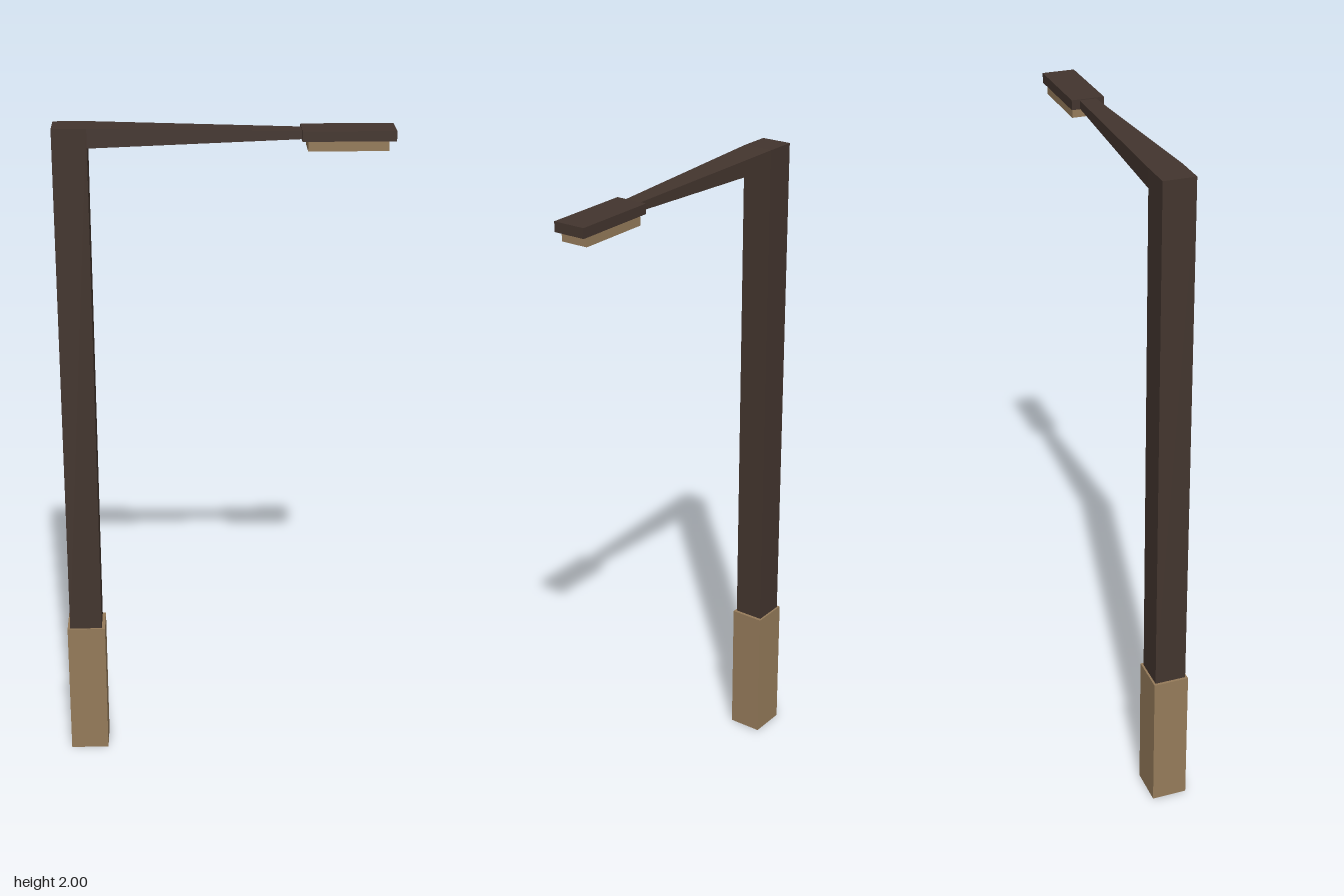
import * as THREE from 'three';

export function createModel() {
  const group = new THREE.Group();
  const darkMetal = new THREE.MeshStandardMaterial({ name: 'dark brown metal', color: 0x43352e });
  const tan = new THREE.MeshStandardMaterial({ name: 'tan', color: 0x957b5a });

  const add = (name, geometry, material) => {
    const mesh = new THREE.Mesh(geometry, material);
    mesh.name = name;
    group.add(mesh);
  };

  // Box given by its extents, centred on z = 0
  const box = (x0, x1, y0, y1, depth) =>
    new THREE.BoxGeometry(x1 - x0, y1 - y0, depth).translate((x0 + x1) / 2, (y0 + y1) / 2, 0);

  // Upright post on its wider base
  add('base', box(-0.484, -0.368, 0, 0.43, 0.106), tan);
  add('pole', box(-0.476, -0.378, 0.43, 2, 0.094), darkMetal);

  // Arm narrowing in height and depth towards the lamp
  const arm = box(-0.378, 0.22, 1.945, 2, 0.094);
  const p = arm.attributes.position;
  for (let i = 0; i < p.count; i++) {
    if (p.getX(i) < 0) continue;
    p.setY(i, p.getY(i) > 1.97 ? 1.986 : 1.962);
    p.setZ(i, Math.sign(p.getZ(i)) * 0.0245);
  }
  const flatArm = arm.toNonIndexed();
  flatArm.computeVertexNormals();
  add('arm', flatArm, darkMetal);

  // Lamp housing and the light panel below it
  add('lampHousing', box(0.219, 0.482, 1.96, 1.989, 0.097), darkMetal);
  add('lightPanel', box(0.236, 0.462, 1.931, 1.96, 0.083), tan);

  return group;
}
